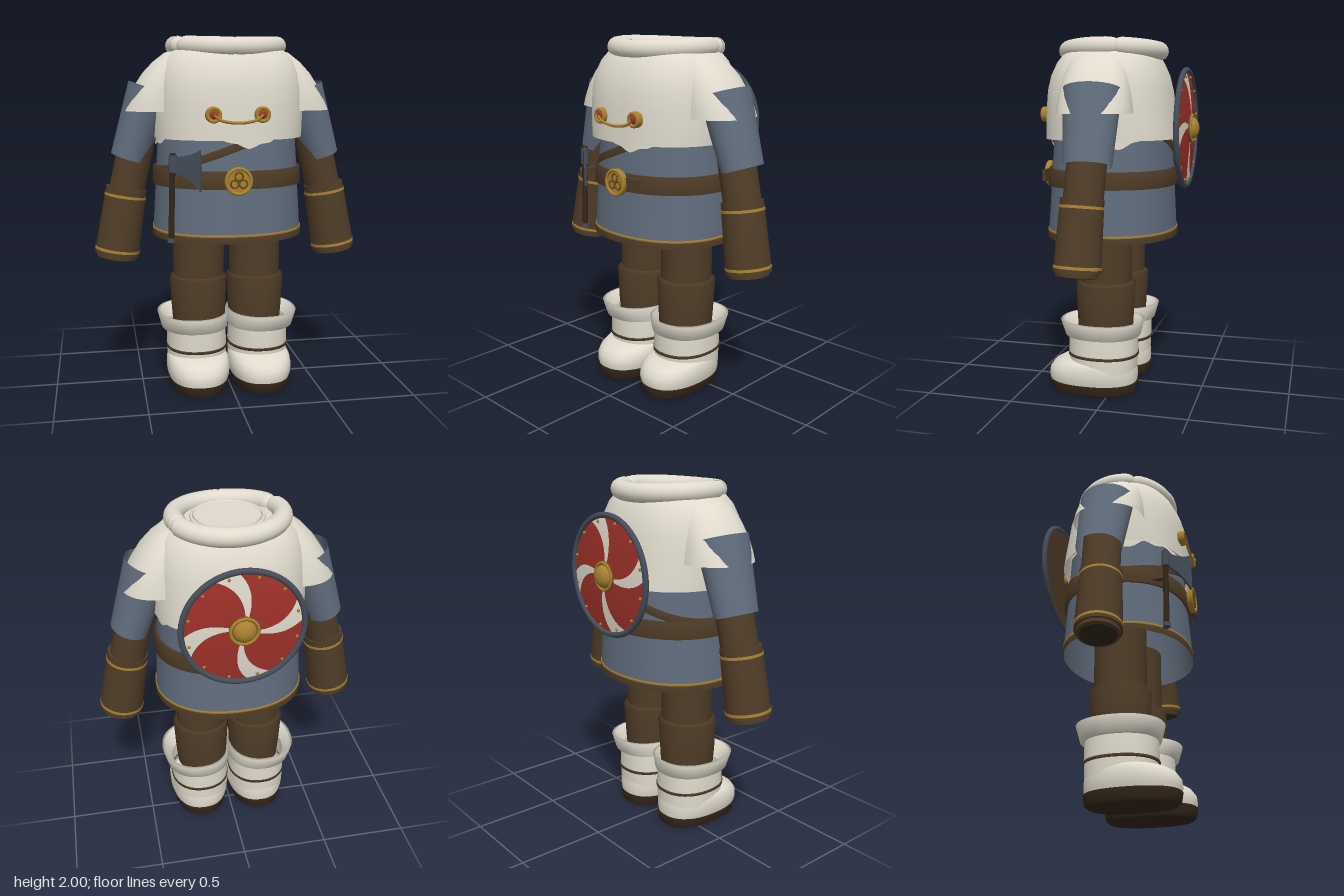
import * as THREE from 'three';

const mat = (name, color, side = THREE.DoubleSide) => {
  const m = new THREE.MeshStandardMaterial({ color, side });
  m.name = name;
  return m;
};
const cream = mat('cream wool', 0xe0dbcd);
const slate = mat('slate cloth', 0x616d7d);
const brown = mat('brown leather', 0x4f3c27);
const darkBrown = mat('dark leather', 0x33261a);
const gold = mat('gold', 0xa8812f);
const oldGold = mat('old gold', 0x6b4f1e);
const red = mat('red paint', 0x9e3129);
const iron = mat('dark iron', 0x454d59);

// Stack of horizontal superellipse rings [y, cx, cz, rx, rz]; optional end caps
function loft(rings, { n = 48, e = 2, bottom = false, top = false } = {}) {
  const pos = [], idx = [];
  const addRing = ([y, cx, cz, rx, rz]) => {
    for (let j = 0; j < n; j++) {
      const a = (j / n) * Math.PI * 2, c = Math.cos(a), s = Math.sin(a);
      pos.push(cx + Math.sign(c) * Math.abs(c) ** (2 / e) * rx, y, cz + Math.sign(s) * Math.abs(s) ** (2 / e) * rz);
    }
  };
  rings.forEach(addRing);
  for (let i = 0; i < rings.length - 1; i++)
    for (let j = 0; j < n; j++) {
      const a = i * n + j, b = i * n + (j + 1) % n;
      idx.push(a, a + n, b, b, a + n, b + n);
    }
  const cap = (r, up) => {
    const s = pos.length / 3;
    addRing(r);
    pos.push(r[1], r[0], r[2]);
    for (let j = 0; j < n; j++) {
      const a = s + j, b = s + (j + 1) % n;
      idx.push(s + n, up ? b : a, up ? a : b);
    }
  };
  if (bottom) cap(rings[0], false);
  if (top) cap(rings[rings.length - 1], true);
  const g = new THREE.BufferGeometry();
  g.setAttribute('position', new THREE.Float32BufferAttribute(pos, 3));
  g.setIndex(idx);
  g.computeVertexNormals();
  return g;
}

// Moves every vertex of a geometry by a rule
function warp(g, rule) {
  const p = g.attributes.position, v = new THREE.Vector3();
  for (let i = 0; i < p.count; i++) {
    rule(v.fromBufferAttribute(p, i));
    p.setXYZ(i, v.x, v.y, v.z);
  }
  g.computeVertexNormals();
  return g;
}

function add(parent, name, geo, material, x = 0, y = 0, z = 0) {
  const m = new THREE.Mesh(geo, material);
  m.name = name;
  m.position.set(x, y, z);
  parent.add(m);
  return m;
}

// Tapered limb section between two points
function limb(parent, name, from, to, r0, r1, material, open = false, deep = 1) {
  const a = new THREE.Vector3(...from), b = new THREE.Vector3(...to), d = b.clone().sub(a);
  const m = add(parent, name, new THREE.CylinderGeometry(r1, r0, d.length(), 32, 1, open), material);
  m.position.copy(a).addScaledVector(d, 0.5);
  m.quaternion.setFromUnitVectors(new THREE.Vector3(0, 1, 0), d.normalize());
  m.scale.z = deep;
  return m;
}

// Round disc facing +z
const disc = (r, h, n = 32) => new THREE.CylinderGeometry(r, r, h, n).rotateX(Math.PI / 2);

// Tunic section at height y, pushed outwards by o
const tunicRing = (y, o = 0) => {
  const t = (y - 0.895) / 0.555;
  return [y, 0, 0.037 - 0.004 * t, 0.424 - 0.034 * t + o, 0.365 - 0.033 * t + o];
};
const band = (y0, y1, o) => loft([tunicRing(y0), tunicRing(y0, o), tunicRing(y1, o), tunicRing(y1)], { n: 64, e: 2.2 });

function buildTorso(g) {
  add(g, 'tunic', loft([0.895, 1.1, 1.3, 1.45, 1.65].map(y => tunicRing(y)), { n: 64, e: 2.2 }), slate);
  add(g, 'tunicHem', band(0.895, 0.93, 0.004), brown);
  add(g, 'hemStripe', band(0.93, 0.942, 0.005), gold);
  add(g, 'belt', band(1.19, 1.285, 0.018), brown);
  add(g, 'crossStrap', warp(band(1.39, 1.435, 0.01), v => { v.y += 0.36 * v.x; }), brown);
  // Belt buckle with three linked rings
  const b = new THREE.Group();
  b.name = 'buckle';
  b.position.set(0, 1.237, 0.417);
  g.add(b);
  add(b, 'buckleTongue', new THREE.BoxGeometry(0.13, 0.066, 0.02), brown, 0.105, 0, -0.012);
  add(b, 'bucklePlate', disc(0.074, 0.024), gold);
  add(b, 'buckleRim', new THREE.TorusGeometry(0.067, 0.009, 10, 40), gold, 0, 0, 0.012);
  for (let i = 0; i < 3; i++) {
    const a = Math.PI / 2 + i * Math.PI * 2 / 3;
    add(b, 'buckleKnot', new THREE.TorusGeometry(0.021, 0.005, 8, 24), oldGold, Math.cos(a) * 0.027, Math.sin(a) * 0.027, 0.013);
  }
}

function buildMantle(g) {
  add(g, 'mantle', loft([
    [1.45, 0, 0.033, 0.42, 0.372], [1.52, 0, 0.037, 0.423, 0.366], [1.62, 0, 0.043, 0.422, 0.356],
    [1.72, 0, 0.046, 0.415, 0.345], [1.8, 0, 0.046, 0.4, 0.325], [1.87, 0, 0.045, 0.37, 0.293],
    [1.92, 0, 0.043, 0.32, 0.26], [1.935, 0, 0.04, 0.25, 0.22],
  ], { n: 64, e: 2.35, top: true }), cream);
  // Ragged inner hem
  const tatters = loft([tunicRing(1.44, 0.016), tunicRing(1.48, 0.016)], { n: 96, e: 2.2 });
  add(g, 'raggedHem', warp(tatters, v => {
    if (v.y > 1.46) return;
    const a = Math.atan2(v.z, v.x);
    v.y += 0.02 - 0.05 * Math.max(0, Math.sin(a * 4 - 4)) - 0.008 * Math.sin(a * 19);
  }), cream);
  for (const s of [1, -1])
    add(g, 'shoulderCape', loft([
      [1.595, s * 0.38, 0.035, 0.205, 0.205], [1.65, s * 0.375, 0.037, 0.187, 0.2], [1.72, s * 0.36, 0.04, 0.165, 0.19],
      [1.8, s * 0.325, 0.042, 0.147, 0.172], [1.86, s * 0.285, 0.045, 0.13, 0.15], [1.91, s * 0.25, 0.045, 0.1, 0.12],
      [1.93, s * 0.24, 0.045, 0.05, 0.06],
    ], { e: 2.2, top: true }), cream);
  add(g, 'neckRing', new THREE.TorusGeometry(0.19, 0.01, 8, 48).rotateX(Math.PI / 2), cream, 0, 1.945, 0.035);
  add(g, 'neckCap', loft([[1.93, 0, 0.035, 0.18, 0.18], [1.953, 0, 0.035, 0.176, 0.176]], { top: true }), cream);
  // Rolled collar in three overlapping lengths
  const roll = (a0, a1, k) => {
    const pts = [];
    for (let i = 0; i <= 16; i++) {
      const a = a0 + (a1 - a0) * i / 16;
      pts.push(new THREE.Vector3(Math.cos(a) * 0.285 * k, 1.937 + 0.011 * Math.cos(a) ** 2, 0.037 + Math.sin(a) * 0.256 * k));
    }
    const curve = new THREE.CatmullRomCurve3(pts);
    add(g, 'collarRoll', new THREE.TubeGeometry(curve, 40, 0.052, 16), cream);
    for (const p of [pts[0], pts[16]])
      add(g, 'collarEnd', new THREE.SphereGeometry(0.051, 16, 10), cream, p.x, p.y, p.z).scale.setScalar(0.97);
  };
  roll(-0.25, 1.55, 0.99);
  roll(1.6, 2.62, 0.99);
  roll(2.85, 5.85, 1.02);
  // Cloak clasp
  for (const s of [1, -1]) {
    add(g, 'claspButton', disc(0.043, 0.03), gold, s * 0.13, 1.585, 0.398);
    add(g, 'claspRim', new THREE.TorusGeometry(0.034, 0.009, 10, 28), gold, s * 0.13, 1.585, 0.413);
    add(g, 'claspStone', new THREE.SphereGeometry(0.022, 16, 10), red, s * 0.13, 1.585, 0.412).scale.z = 0.5;
  }
  const cord = new THREE.CatmullRomCurve3([[-0.13, 1.585], [-0.1, 1.56], [-0.05, 1.547], [0, 1.543], [0.05, 1.547], [0.1, 1.56], [0.13, 1.585]]
    .map(([x, y]) => new THREE.Vector3(x, y, 0.424)));
  add(g, 'claspCord', new THREE.TubeGeometry(cord, 32, 0.008, 8), gold);
}

function buildArm(g, s) {
  const p = (x, y, z) => [s * x, y, z];
  limb(g, 'sleeve', p(0.555, 1.33, 0.03), p(0.43, 1.72, 0.035), 0.104, 0.125, slate, true, 1.25);
  limb(g, 'forearm', p(0.58, 1.12, 0.048), p(0.5, 1.46, 0.035), 0.1, 0.1, brown, false, 1.06);
  const top = new THREE.Vector3(...p(0.573, 1.165, 0.05)), end = new THREE.Vector3(...p(0.636, 0.79, 0.062));
  const at = t => top.clone().lerp(end, t).toArray(), r = t => 0.114 + 0.011 * t;
  limb(g, 'cuff', at(1), at(0), r(1), r(0), brown);
  for (const t of [0.1, 0.91]) limb(g, 'cuffStripe', at(t + 0.04), at(t), r(t + 0.04) + 0.002, r(t) + 0.002, gold);
  limb(g, 'cuffLip', at(1.055), at(0.98), 0.112, 0.114, brown);
  limb(g, 'wristEnd', at(1.07), at(1.03), 0.095, 0.1, darkBrown);
}

function buildLeg(g, s) {
  const x = s * 0.165, b = s * 0.182;
  add(g, 'thigh', loft([[0.6, x, 0.035, 0.147, 0.145], [1.0, x, 0.035, 0.15, 0.146]]), brown);
  add(g, 'kneeWrap', loft([[0.34, x, 0.04, 0.15, 0.155], [0.45, x + s * 0.002, 0.04, 0.157, 0.162], [0.635, x + s * 0.003, 0.037, 0.166, 0.17], [0.648, x, 0.036, 0.148, 0.146]]), brown);
  // Boot
  add(g, 'bootCuff', loft([
    [0.345, s * 0.187, 0.045, 0.165, 0.18], [0.345, s * 0.194, 0.047, 0.192, 0.215], [0.43, s * 0.204, 0.048, 0.205, 0.238],
    [0.432, s * 0.2, 0.047, 0.188, 0.218], [0.36, s * 0.185, 0.045, 0.165, 0.17],
  ], { e: 2.2 }), cream);
  add(g, 'bootShaft', loft([[0.14, b, 0.045, 0.17, 0.19], [0.24, b, 0.048, 0.174, 0.199], [0.37, b, 0.048, 0.168, 0.197]], { e: 2.2 }), cream);
  add(g, 'bootStrap', loft([[0.222, b, 0.048, 0.17, 0.19], [0.222, b, 0.048, 0.177, 0.203], [0.238, b, 0.048, 0.177, 0.203], [0.238, b, 0.048, 0.17, 0.19]], { e: 2.2 }), brown);
  add(g, 'bootFoot', loft([
    [0.05, b, 0.107, 0.165, 0.252], [0.09, b, 0.109, 0.178, 0.258], [0.13, b, 0.107, 0.181, 0.255], [0.165, b, 0.096, 0.177, 0.24],
    [0.188, b, 0.078, 0.168, 0.215], [0.2, b, 0.055, 0.15, 0.185],
  ], { e: 2.3, top: true }), cream);
  add(g, 'sole', loft([[0, b, 0.105, 0.145, 0.235], [0.012, b, 0.106, 0.16, 0.252], [0.065, b, 0.107, 0.172, 0.26], [0.072, b, 0.107, 0.165, 0.25]], { e: 2.3, bottom: true }), darkBrown);
}

function buildAxe(g) {
  const axe = new THREE.Group();
  axe.name = 'axe';
  axe.position.set(-0.348, 0, 0.348);
  g.add(axe);
  limb(axe, 'axeHandle', [-0.006, 0.91, 0], [0.008, 1.385, 0], 0.016, 0.015, darkBrown);
  limb(axe, 'handlePommel', [-0.006, 0.905, 0], [-0.005, 0.93, 0], 0.021, 0.019, iron);
  add(axe, 'axeSocket', new THREE.CylinderGeometry(0.022, 0.022, 0.09, 16), iron, 0.007, 1.33, 0);
  const s = new THREE.Shape();
  s.moveTo(0, 1.285);
  s.quadraticCurveTo(0.11, 1.28, 0.178, 1.19);
  s.lineTo(0.183, 1.3);
  s.lineTo(0.178, 1.41);
  s.quadraticCurveTo(0.12, 1.37, 0, 1.365);
  const blade = new THREE.ExtrudeGeometry(s, { depth: 0.012, bevelEnabled: false }).translate(0, 0, -0.006);
  add(axe, 'axeBlade', blade, iron).rotation.y = -0.67;
  add(axe, 'axeLoop', new THREE.BoxGeometry(0.035, 0.05, 0.12), brown, 0.02, 1.237, -0.06);
}

function buildShield(g) {
  const sh = new THREE.Group();
  sh.name = 'shield';
  sh.position.set(0, 1.508, -0.387);
  sh.rotation.y = Math.PI;
  g.add(sh);
  const R = 0.318;
  // Curved painted sectors swirling out from the centre
  const sector = (a0, white) => warp(new THREE.PlaneGeometry(1, 1, 12, 12), v => {
    const u = v.x + 0.5, r = 0.04 + (R - 0.04) * (v.y + 0.5), t = r / R;
    const w = 0.18 + 0.24 * t, mid = a0 - 0.2 + 0.5 * t * t;
    const a = white ? mid + w * (u - 0.5) : mid + w / 2 + (Math.PI / 2 - w) * u;
    v.set(r * Math.cos(a), r * Math.sin(a), 0.026 * (1 - t * t));
  });
  for (let i = 0; i < 4; i++) {
    add(sh, 'whiteSwirl', sector(i * Math.PI / 2, true), cream);
    add(sh, 'redField', sector(i * Math.PI / 2, false), red);
  }
  add(sh, 'shieldBack', disc(R, 0.006, 48), brown, 0, 0, -0.006);
  add(sh, 'shieldRim', new THREE.TorusGeometry(0.322, 0.016, 12, 64), iron);
  for (let i = 0; i < 12; i++) {
    const a = (i + 0.5) * Math.PI / 6;
    add(sh, 'rivet', new THREE.SphereGeometry(0.009, 8, 6), gold, Math.cos(a) * 0.293, Math.sin(a) * 0.293, 0.006);
  }
  add(sh, 'bossFlange', disc(0.082, 0.014), oldGold, 0, 0, 0.027);
  add(sh, 'bossRim', new THREE.TorusGeometry(0.073, 0.009, 10, 40), gold, 0, 0, 0.033);
  add(sh, 'boss', new THREE.SphereGeometry(0.062, 28, 16), gold, 0, 0, 0.03).scale.z = 0.7;
}

export function createModel() {
  const g = new THREE.Group();
  g.name = 'outfit';
  buildTorso(g);
  buildMantle(g);
  for (const s of [1, -1]) {
    buildArm(g, s);
    buildLeg(g, s);
  }
  buildAxe(g);
  buildShield(g);
  return g;
}
